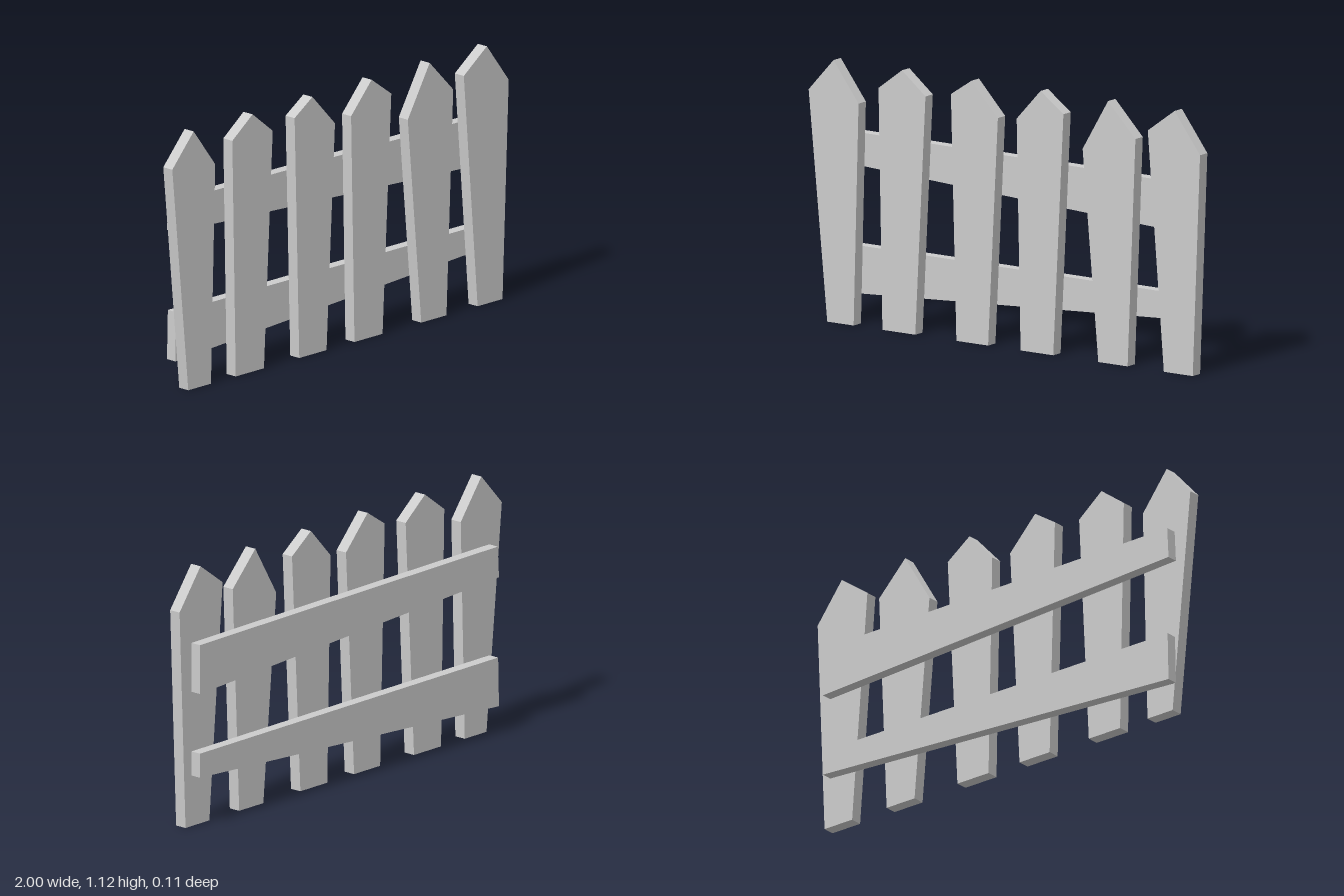
import * as THREE from 'three';

const material = new THREE.MeshStandardMaterial({ color: 0xcccccc, flatShading: true });

// Flat board: outline in x/y, extruded from zBack to zFront
function board(name, outline, zBack, zFront) {
  const shape = new THREE.Shape(outline.map(([x, y]) => new THREE.Vector2(x, y)));
  const geometry = new THREE.ExtrudeGeometry(shape, { depth: zFront - zBack, bevelEnabled: false });
  geometry.translate(0, 0, zBack);
  const mesh = new THREE.Mesh(geometry, material);
  mesh.name = name;
  return mesh;
}

// Per picket: foot left x, foot right x, right shoulder x, y, tip x, left shoulder x, y
const PICKETS = [
  [-0.905, -0.77, -0.745, 0.95, -0.873, -1.0, 0.98],
  [-0.623, -0.455, -0.403, 1.023, -0.523, -0.643, 1.03],
  [-0.245, -0.083, -0.033, 0.977, -0.167, -0.273, 1.05],
  [0.083, 0.25, 0.302, 1.035, 0.185, 0.063, 0.987],
  [0.48, 0.63, 0.67, 0.975, 0.53, 0.4, 0.9],
  [0.815, 0.963, 1.0, 0.947, 0.87, 0.733, 1.02],
];
const TIP_Y = 1.12;

export function createModel() {
  const fence = new THREE.Group();
  fence.name = 'picketFence';

  // Six uneven pointed pickets
  PICKETS.forEach(([footL, footR, rx, ry, tipX, lx, ly], i) => {
    const outline = [[footL, 0], [footR, 0], [rx, ry], [tipX, TIP_Y], [lx, ly]];
    fence.add(board(`picket${i + 1}`, outline, 0, 0.053));
  });

  // Two tapering rails behind the pickets
  fence.add(board('upperRail',
    [[-0.925, 0.68], [0.93, 0.587], [0.93, 0.8], [-0.918, 0.815]], -0.052, -0.003));
  fence.add(board('lowerRail',
    [[-0.925, 0.118], [0.93, 0.222], [0.93, 0.327], [-0.92, 0.331]], -0.052, -0.003));

  return fence;
}
